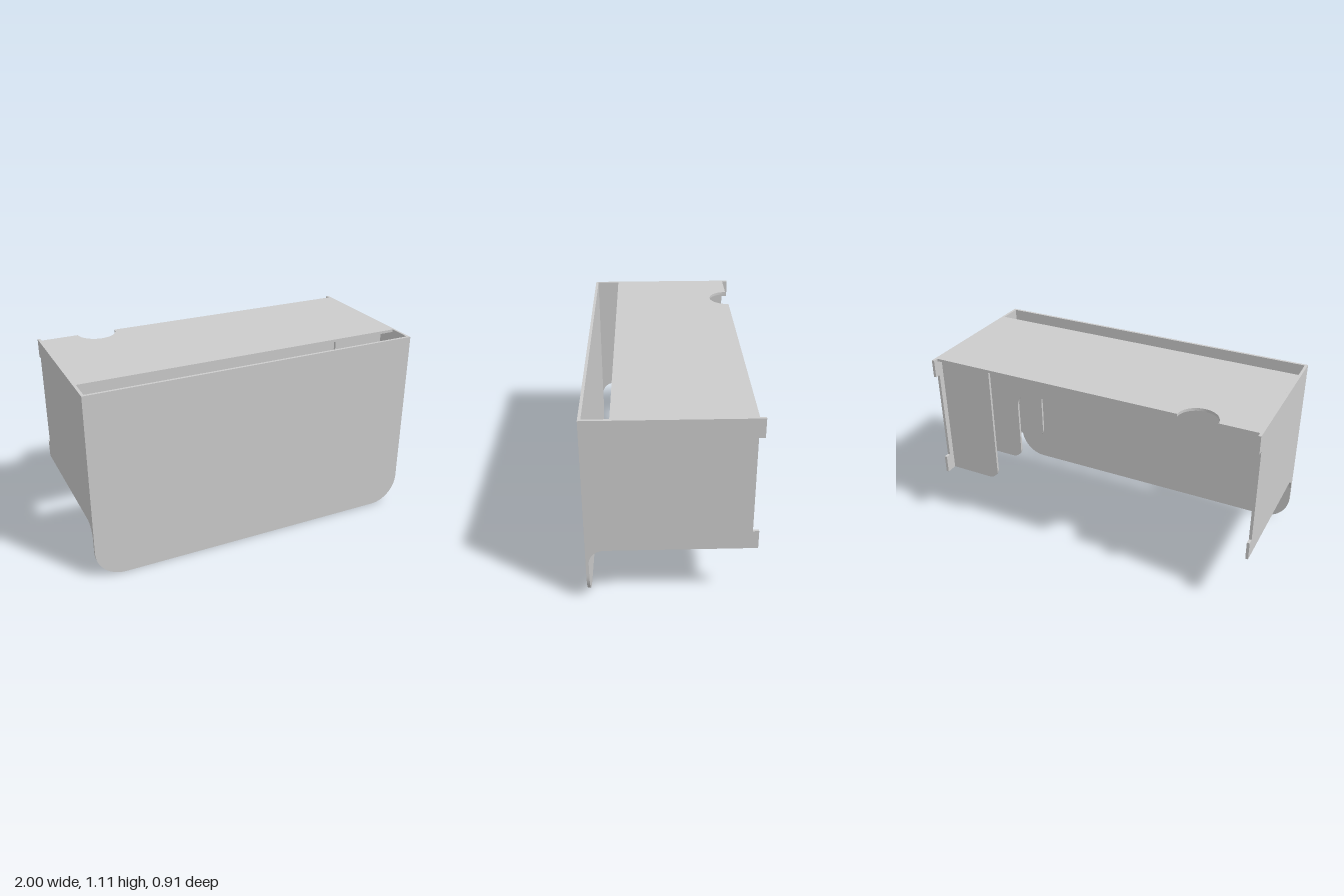
import * as THREE from 'three';

const T = 0.016;          // board thickness
const TOP = 1.11;         // top of the desk
const LOW = 0.336;        // bottom of sides and partitions
const INNER = 1 - T;      // inner face of the sides
const FRONT = 0.437;      // inner face of the front panel
const BACK = -0.453;

const material = new THREE.MeshStandardMaterial({ color: 0xcccccc });

function board(shape) {
  return new THREE.ExtrudeGeometry(shape, { depth: T, bevelEnabled: false, curveSegments: 16 });
}

function addPart(group, name, geometry) {
  const mesh = new THREE.Mesh(geometry, material);
  mesh.name = name;
  group.add(mesh);
  return mesh;
}

// Front panel with rounded lower corners
function frontShape() {
  const r = 0.17, s = new THREE.Shape();
  s.moveTo(-1, TOP);
  s.lineTo(-1, r);
  s.absarc(-1 + r, r, r, Math.PI, Math.PI * 1.5, false);
  s.absarc(1 - r, r, r, Math.PI * 1.5, Math.PI * 2, false);
  s.lineTo(1, TOP);
  return s;
}

// Side panel, drawn as (z, y): shallow notch at the back, flared foot at the front
function sideShape() {
  const r = 0.085, notch = -0.42, s = new THREE.Shape();
  s.moveTo(BACK, LOW);
  s.lineTo(FRONT - r, LOW);
  s.absarc(FRONT - r, LOW - r, r, Math.PI / 2, 0, true);
  s.lineTo(FRONT, TOP);
  s.lineTo(BACK, TOP);
  s.lineTo(BACK, 1.003);
  s.lineTo(notch, 1.003);
  s.lineTo(notch, 0.445);
  s.lineTo(BACK, 0.445);
  return s;
}

// Worktop, drawn as (x, z), with a half-round cable cutout in the back edge
function topShape() {
  const back = -0.421, s = new THREE.Shape();
  s.moveTo(-INNER, 0.3);
  s.lineTo(-INNER, back);
  s.lineTo(-0.766, back);
  s.absarc(-0.653, back, 0.113, Math.PI, 0, true);
  s.lineTo(INNER, back);
  s.lineTo(INNER, 0.3);
  return s;
}

// Partition with a rounded lower corner; the middle one continues into a long rail
function partitionShape(withRail) {
  const x = 0.655, r = 0.065, top = TOP - T, railLow = 0.81, fillet = 0.085;
  const s = new THREE.Shape();
  s.moveTo(INNER, top);
  if (withRail) {
    s.lineTo(-INNER, top);
    s.lineTo(-INNER, railLow);
    s.lineTo(x - fillet, railLow);
    s.absarc(x - fillet, railLow - fillet, fillet, Math.PI / 2, 0, true);
  } else {
    s.lineTo(x, top);
  }
  s.lineTo(x, LOW + r);
  s.absarc(x + r, LOW + r, r, Math.PI, Math.PI * 1.5, false);
  s.lineTo(INNER, LOW);
  return s;
}

export function createModel() {
  const desk = new THREE.Group();
  desk.name = 'desk';

  addPart(desk, 'frontPanel', board(frontShape())).position.z = FRONT;

  const side = board(sideShape()).rotateY(-Math.PI / 2);
  addPart(desk, 'leftSide', side).position.x = 1;
  addPart(desk, 'rightSide', side).position.x = -INNER;

  addPart(desk, 'worktop', board(topShape()).rotateX(Math.PI / 2)).position.y = TOP;

  // Three evenly spaced partitions along the left side
  [['backPartition', -0.385], ['railPartition', -0.107], ['frontPartition', 0.17]].forEach(([name, z], i) => {
    addPart(desk, name, board(partitionShape(i === 1))).position.z = z;
  });

  return desk;
}
